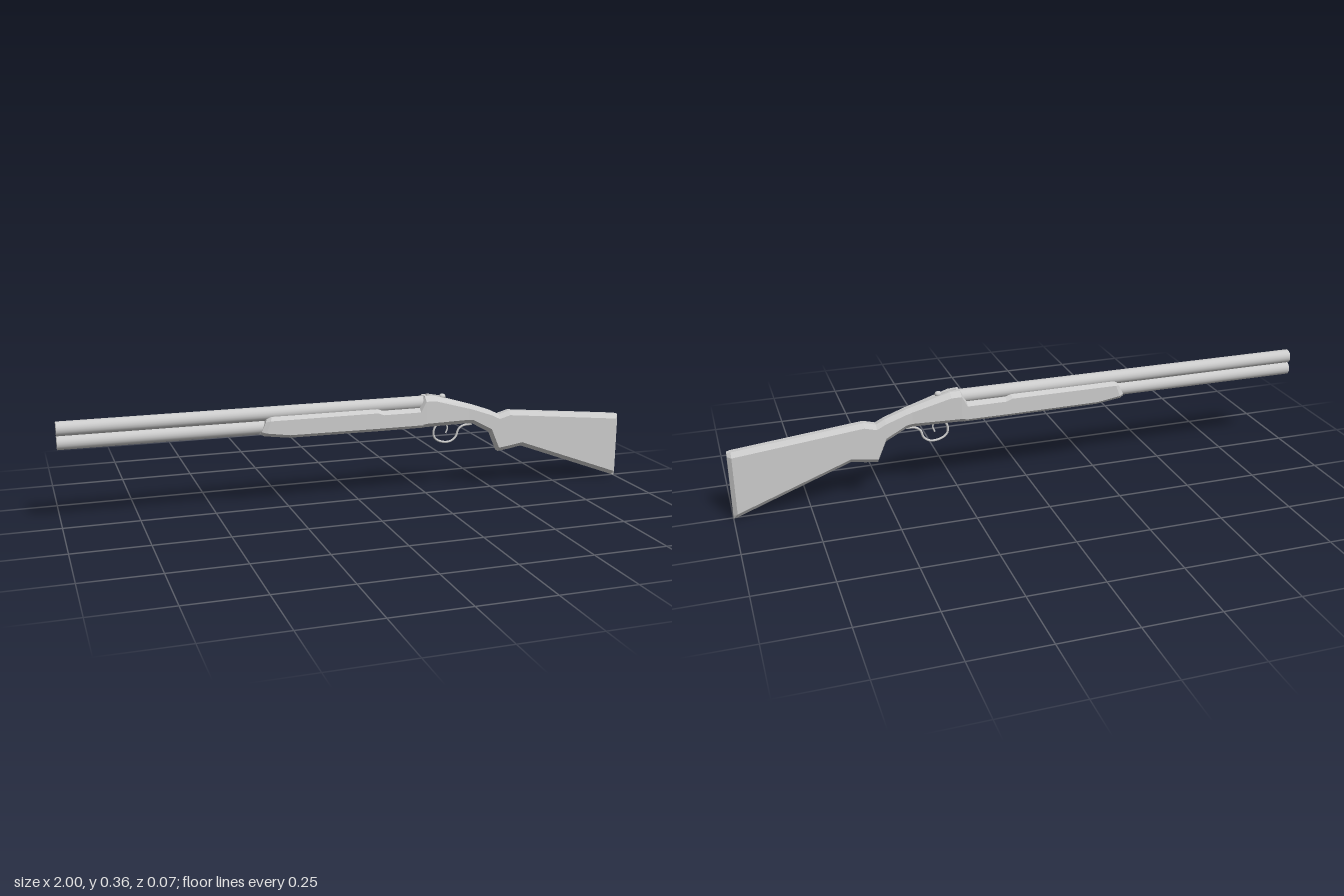
import * as THREE from 'three';

const flat = new THREE.MeshStandardMaterial({ color: 0xcccccc, flatShading: true });
const smooth = new THREE.MeshStandardMaterial({ color: 0xcccccc });

// Lofts chamfered eight-sided sections along x.
// Section: [xTop, xBottom, top, bottom, halfWidth, flatHalfWidth, chamfer]
function loft(sections) {
  const positions = [], index = [], n = 8;
  for (const [xt, xb, top, bot, w, a, c] of sections) {
    const side = [[a, bot], [w, bot + c], [w, top - c], [a, top]];
    const ring = [...side, ...side.slice().reverse().map(([z, y]) => [-z, y])];
    for (const [z, y] of ring) {
      positions.push(xb + (xt - xb) * (y - bot) / (top - bot), y, z);
    }
  }
  for (let i = 0; i < sections.length - 1; i++) {
    for (let j = 0; j < n; j++) {
      const p = i * n + j, q = i * n + (j + 1) % n;
      index.push(p, p + n, q + n, p, q + n, q);
    }
  }
  const last = (sections.length - 1) * n;
  for (let j = 1; j < n - 1; j++) {
    index.push(0, j, j + 1, last, last + j + 1, last + j);
  }
  const g = new THREE.BufferGeometry();
  g.setAttribute('position', new THREE.Float32BufferAttribute(positions, 3));
  g.setIndex(index);
  const out = g.toNonIndexed();
  out.computeVertexNormals();
  return out;
}

// Thin rod following points in the x-y plane
function rod(points, radius) {
  const curve = new THREE.CatmullRomCurve3(points.map(([x, y]) => new THREE.Vector3(x, y, 0)));
  return new THREE.TubeGeometry(curve, 32, radius, 8);
}

export function createModel() {
  const model = new THREE.Group();
  const add = (name, geometry, material) => {
    const mesh = new THREE.Mesh(geometry, material);
    mesh.name = name;
    model.add(mesh);
    return mesh;
  };

  // Two stacked barrels
  for (const [name, y] of [['upperBarrel', 0.329], ['lowerBarrel', 0.284]]) {
    const barrel = add(name, new THREE.CylinderGeometry(0.0235, 0.0235, 1.25, 20), smooth);
    barrel.rotation.z = Math.PI / 2;
    barrel.position.set(-0.375, y, 0);
  }

  // Fore-end with slanted, bevelled nose
  add('foreEnd', loft([
    [-0.325, -0.35, 0.315, 0.264, 0.027, 0.018, 0.01],
    [-0.31, -0.335, 0.322, 0.258, 0.036, 0.024, 0.012],
    [-0.25, -0.25, 0.322, 0.246, 0.036, 0.022, 0.012],
    [0.06, 0.06, 0.322, 0.244, 0.036, 0.022, 0.012],
    [0.08, 0.08, 0.314, 0.244, 0.036, 0.022, 0.012],
    [0.225, 0.225, 0.314, 0.244, 0.036, 0.022, 0.012],
  ]), flat);

  // Receiver stepping up behind the barrels and tapering into the wrist
  add('receiver', loft([
    [0.215, 0.215, 0.314, 0.244, 0.036, 0.022, 0.012],
    [0.235, 0.235, 0.354, 0.244, 0.036, 0.018, 0.016],
    [0.27, 0.27, 0.353, 0.244, 0.034, 0.016, 0.016],
    [0.4, 0.4, 0.314, 0.244, 0.022, 0.01, 0.015],
  ]), flat);

  // Stock with wrist, grip, comb and bevelled butt
  add('stock', loft([
    [0.4, 0.4, 0.314, 0.244, 0.022, 0.01, 0.015],
    [0.42, 0.42, 0.308, 0.241, 0.022, 0.01, 0.015],
    [0.49, 0.49, 0.283, 0.203, 0.022, 0.01, 0.015],
    [0.52, 0.52, 0.268, 0.133, 0.022, 0.01, 0.015],
    [0.56, 0.56, 0.279, 0.138, 0.022, 0.01, 0.015],
    [0.61, 0.61, 0.274, 0.146, 0.022, 0.01, 0.015],
    [0.987, 0.987, 0.236, 0.005, 0.022, 0.01, 0.016],
    [1, 1, 0.234, 0, 0.01, 0.007, 0.012],
  ]), flat);

  // Trigger guard and trigger
  add('triggerGuard', rod([
    [0.29, 0.25], [0.277, 0.225], [0.28, 0.2], [0.302, 0.184],
    [0.338, 0.181], [0.36, 0.196], [0.37, 0.222], [0.385, 0.234], [0.42, 0.238],
  ], 0.004), smooth);
  add('trigger', rod([[0.322, 0.25], [0.328, 0.23], [0.322, 0.212]], 0.003), smooth);

  // Top lever with a round thumb knob
  const lever = add('leverArm', new THREE.BoxGeometry(0.06, 0.008, 0.01), flat);
  lever.position.set(0.275, 0.349, 0);
  lever.rotation.z = -0.2;
  const knob = add('leverKnob', new THREE.SphereGeometry(0.01, 16, 12), smooth);
  knob.scale.set(1.2, 1, 1);
  knob.position.set(0.306, 0.345, 0);

  return model;
}
